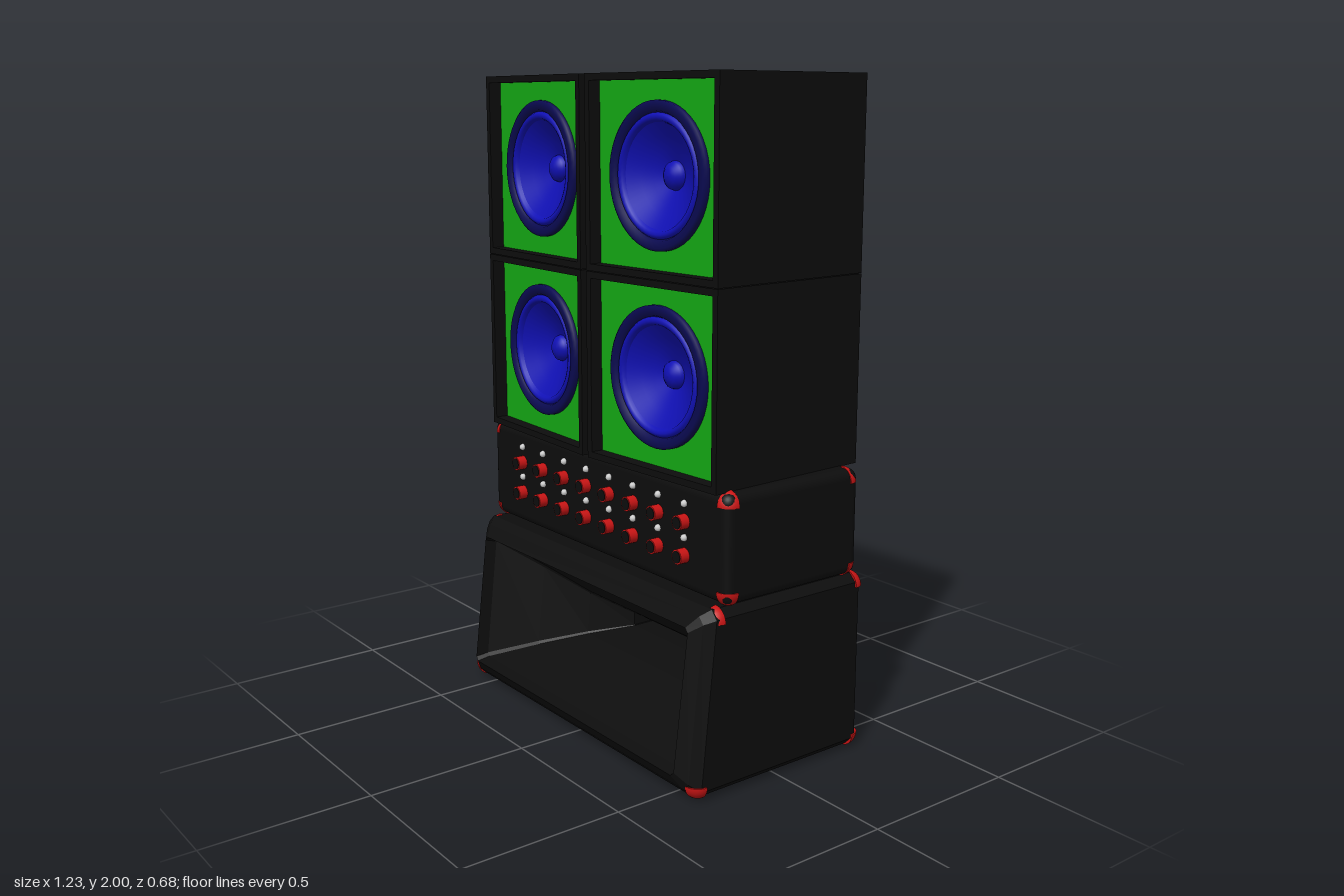
import * as THREE from 'three';
import { mergeGeometries } from 'three/addons/utils/BufferGeometryUtils.js';
import { RoundedBoxGeometry } from 'three/addons/geometries/RoundedBoxGeometry.js';

const mat = (color, extra = {}) => new THREE.MeshStandardMaterial({ color, ...extra });
const black = mat(0x0d0d0d);
const blackFlat = mat(0x0d0d0d, { flatShading: true });
const red = mat(0xc81414, { side: THREE.DoubleSide });
const green = mat(0x14a814);
const blue = mat(0x1010b4, { side: THREE.DoubleSide });
const navy = mat(0x0a0a50, { side: THREE.DoubleSide });
const white = mat(0xcccccc);

function add(parent, name, geometry, material, x = 0, y = 0, z = 0) {
  const mesh = new THREE.Mesh(geometry, material);
  mesh.name = name;
  mesh.position.set(x, y, z);
  parent.add(mesh);
  return mesh;
}

function rect(hw, hh, Type = THREE.Shape) {
  const s = new Type();
  s.moveTo(-hw, -hh);
  s.lineTo(hw, -hh);
  s.lineTo(hw, hh);
  s.lineTo(-hw, hh);
  s.closePath();
  return s;
}

// Turned profile of [radius, z] pairs, facing +z
const turned = (profile) =>
  new THREE.LatheGeometry(profile.map(([r, z]) => new THREE.Vector2(r, z)), 48).rotateX(Math.PI / 2);

// Speaker cabinet: solid back, hollow front frame, recessed baffle and driver
function speakerCabinet() {
  const W = 0.565, H = 0.56, D = 0.562, pocket = 0.13;
  const g = new THREE.Group();
  g.name = 'speakerCabinet';
  add(g, 'cabinetBody', new THREE.BoxGeometry(W, H, D - pocket), black, 0, 0, -pocket / 2);
  const frame = rect(W / 2, H / 2);
  frame.holes.push(rect(W / 2 - 0.02, H / 2 - 0.02, THREE.Path));
  add(g, 'cabinetFrame', new THREE.ExtrudeGeometry(frame, { depth: pocket, bevelEnabled: false }),
    black, 0, 0, D / 2 - pocket);
  const baffle = rect(W / 2 - 0.02, H / 2 - 0.02);
  baffle.holes.push(new THREE.Path().absarc(0, 0, 0.19, 0, Math.PI * 2, true));
  const front = D / 2 - 0.04;
  add(g, 'baffle', new THREE.ShapeGeometry(baffle, 32), green, 0, 0, front);
  add(g, 'driverRim', turned([[0.206, 0], [0.206, 0.012], [0.198, 0.018], [0.178, 0.016], [0.172, 0.004]]),
    navy, 0, 0, front);
  add(g, 'driverSurround', turned([[0.174, 0.004], [0.168, 0.012], [0.16, 0.014], [0.152, 0.01], [0.147, 0]]),
    blue, 0, 0, front);
  add(g, 'driverCone', turned([[0.147, 0], [0.11, -0.024], [0.075, -0.044], [0.038, -0.06]]), blue, 0, 0, front);
  add(g, 'dustCap', turned([[0.042, -0.06], [0.038, -0.046], [0.024, -0.035], [0.01, -0.031], [0, -0.03]]),
    blue, 0, 0, front);
  return g;
}

// Closed eighth of a sphere, bulging towards +x +y +z
function octant(r) {
  const q = Math.PI / 2;
  const disc = () => new THREE.CircleGeometry(r, 10, 0, q);
  return mergeGeometries([
    new THREE.SphereGeometry(r, 10, 8, q, q, 0, q),
    disc(),
    disc().rotateX(q),
    disc().rotateY(-q),
  ]);
}

// Corner guards at the eight corners of a case; z differs between top and bottom
function cornerGuards(parent, hw, y0, y1, back, front0, front1) {
  const r = 0.045;
  const geo = octant(r);
  for (const sx of [-1, 1])
    for (const top of [false, true])
      for (const sz of [-1, 1]) {
        const z = sz < 0 ? back + r : (top ? front1 : front0) - r;
        const guard = add(parent, 'cornerGuard', geo, red, sx * (hw - r), top ? y1 - r : y0 + r, z);
        guard.scale.set(sx, top ? 1 : -1, sz);
      }
}

// Loft through rings of [half width, bottom y, bottom z, top y, top z, corner cut]
function loft(rings) {
  const pos = [], idx = [];
  for (const [w, y0, z0, y1, z1, c] of rings) {
    const outline = [
      [-w + c, y0], [w - c, y0], [w, y0 + c], [w, y1 - c],
      [w - c, y1], [-w + c, y1], [-w, y1 - c], [-w, y0 + c],
    ];
    for (const [x, y] of outline) pos.push(x, y, z0 + ((z1 - z0) * (y - y0)) / (y1 - y0));
  }
  for (let i = 0; i < rings.length - 1; i++)
    for (let j = 0; j < 8; j++) {
      const a = i * 8 + j, b = i * 8 + ((j + 1) % 8);
      idx.push(a, b, b + 8, a, b + 8, a + 8);
    }
  const last = (rings.length - 1) * 8;
  for (let j = 1; j < 7; j++) {
    idx.push(0, j + 1, j);
    idx.push(last, last + j, last + j + 1);
  }
  const geo = new THREE.BufferGeometry();
  geo.setAttribute('position', new THREE.Float32BufferAttribute(pos, 3));
  geo.setIndex(idx);
  const flat = geo.toNonIndexed();
  flat.computeVertexNormals();
  return flat;
}

export function createModel() {
  const model = new THREE.Group();
  model.name = 'speakerStack';

  // Four cabinets, each pair splayed slightly outwards
  for (const side of [-1, 1])
    for (const y of [1.158, 1.72]) {
      const cab = speakerCabinet();
      cab.position.set(side * 0.281, y, -0.04);
      cab.rotation.y = side * 0.053;
      model.add(cab);
    }

  // Amplifier head with two rows of knobs and lamps
  const amp = new THREE.Group();
  amp.name = 'amplifier';
  model.add(amp);
  add(amp, 'amplifierCase', new RoundedBoxGeometry(1.216, 0.32, 0.504, 3, 0.03), black, 0, 0.72, -0.043);
  cornerGuards(amp, 0.613, 0.553, 0.885, -0.3, 0.214, 0.214);
  const knobGeo = new THREE.CylinderGeometry(0.022, 0.022, 0.034, 20).rotateX(Math.PI / 2);
  const faceGeo = new THREE.CylinderGeometry(0.018, 0.018, 0.004, 20).rotateX(Math.PI / 2);
  const lampGeo = new THREE.SphereGeometry(0.011, 12, 8);
  for (let i = 0; i < 8; i++)
    for (const y of [0.667, 0.767]) {
      const x = (i - 3.5) * 0.121;
      add(amp, 'knob', knobGeo, red, x, y, 0.222);
      add(amp, 'knobFace', faceGeo, black, x, y, 0.239);
      add(amp, 'lamp', lampGeo, white, x, y + 0.052, 0.212);
    }

  // Bass bin: bevelled case with a sloping front, folding inwards into the horn
  const bass = new THREE.Group();
  bass.name = 'bassBin';
  model.add(bass);
  add(bass, 'bassHorn', loft([
    [0.575, 0.035, -0.334, 0.53, -0.334, 0.015],
    [0.602, 0.01, -0.308, 0.555, -0.308, 0.025],
    [0.602, 0.01, 0.29, 0.555, 0.235, 0.025],
    [0.575, 0.035, 0.315, 0.535, 0.262, 0.02],
    [0.54, 0.075, 0.34, 0.5, 0.29, 0.012],
    [0.53, 0.085, 0.3, 0.49, 0.255, 0.01],
    [0.4, 0.14, 0.18, 0.41, 0.15, 0.008],
    [0.28, 0.185, 0.06, 0.33, 0.05, 0.006],
    [0.18, 0.215, -0.06, 0.26, -0.06, 0.002],
    [0.18, 0.215, -0.15, 0.26, -0.15, 0.002],
  ]), blackFlat);
  cornerGuards(bass, 0.608, 0.003, 0.56, -0.339, 0.316, 0.255);

  return model;
}
